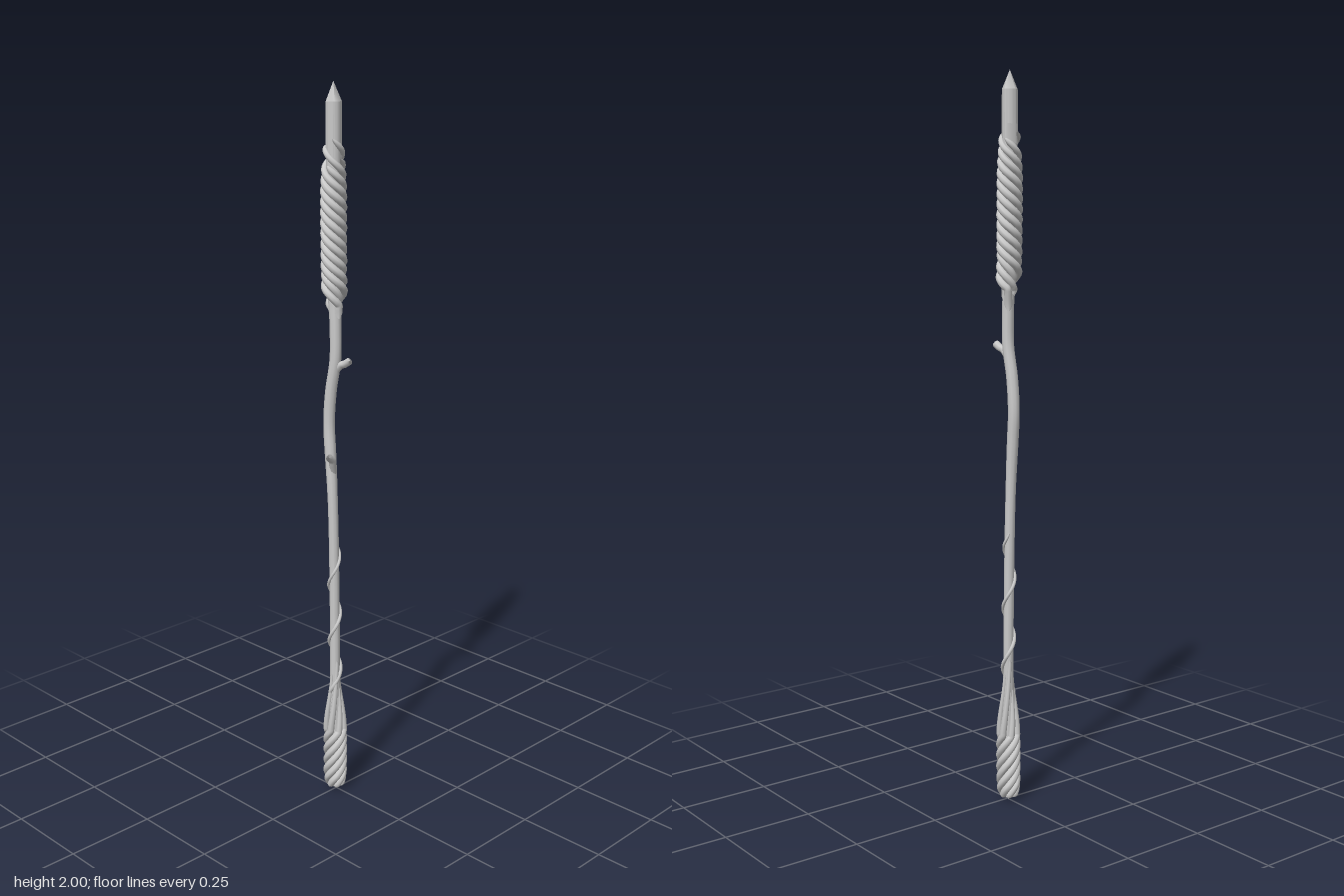
import * as THREE from 'three';

const material = new THREE.MeshStandardMaterial({ color: 0xcccccc, side: THREE.DoubleSide });
const V = (x, y, z) => new THREE.Vector3(x, y, z);
const { smoothstep, lerp } = THREE.MathUtils;

// Centre line of the staff, bowed backwards around y = 1.1
const axis = new THREE.CatmullRomCurve3([
  V(0, 0, -0.004), V(0, 0.25, -0.004), V(0, 0.5, -0.005), V(-0.003, 0.8, -0.007), V(-0.004, 0.92, -0.011),
  V(-0.003, 1.02, -0.019), V(-0.002, 1.1, -0.025), V(-0.002, 1.19, -0.018), V(0, 1.28, -0.003),
  V(0, 1.36, -0.002), V(0, 1.45, -0.006), V(0, 1.65, -0.009), V(0, 1.95, -0.009),
]);
const axisPoints = axis.getSpacedPoints(400);
function centreAt(y) {
  const i = Math.max(1, axisPoints.findIndex((p) => p.y >= y));
  const a = axisPoints[i - 1], b = axisPoints[i];
  return a.clone().lerp(b, (y - a.y) / (b.y - a.y));
}

// Tube whose radius follows a rule of height and of position along the path
function taperedTube(name, path, segments, sides, radiusAt) {
  const geometry = new THREE.TubeGeometry(path, segments, 1, sides);
  const pos = geometry.attributes.position;
  const p = V(0, 0, 0);
  for (let i = 0; i <= segments; i++) {
    const c = path.getPointAt(i / segments);
    const r = radiusAt(c.y, i / segments);
    for (let j = 0; j <= sides; j++) {
      const k = i * (sides + 1) + j;
      p.fromBufferAttribute(pos, k).sub(c).multiplyScalar(r).add(c);
      pos.setXYZ(k, p.x, p.y, p.z);
    }
  }
  const mesh = new THREE.Mesh(geometry, material);
  mesh.name = name;
  return mesh;
}

// Vine winding round the staff between two heights
function vine(name, y0, y1, angleAt, distanceAt, radiusAt, segments) {
  const points = [];
  const n = 48;
  for (let i = 0; i <= n; i++) {
    const y = lerp(y0, y1, i / n);
    const a = angleAt(y), d = distanceAt(y), c = centreAt(y);
    points.push(V(c.x + d * Math.sin(a), y, c.z + d * Math.cos(a)));
  }
  return taperedTube(name, new THREE.CatmullRomCurve3(points), segments, 8, radiusAt);
}
const blunt = (u) => Math.sqrt(Math.min(1, u / 0.03, (1 - u) / 0.03));

export function createModel() {
  const staff = new THREE.Group();
  staff.name = 'woodenStaff';

  // Shaft with a rounded foot, widening towards the head
  staff.add(taperedTube('shaft', axis, 160, 10, (y) => {
    const foot = Math.sqrt(Math.min(1, y / 0.03));
    const body = y < 1.3
      ? 0.014 + 0.008 * (1 - smoothstep(y, 0.15, 0.4)) + 0.002 * smoothstep(y, 0.85, 1.05)
      : 0.016 + 0.004 * smoothstep(y, 1.38, 1.5);
    return foot * body;
  }));

  // Five-sided pointed head
  const head = new THREE.Group();
  head.name = 'pointedHead';
  const block = new THREE.Mesh(new THREE.CylinderGeometry(0.022, 0.023, 0.14, 5), material);
  block.name = 'headBlock';
  block.position.y = 1.88;
  const tip = new THREE.Mesh(new THREE.ConeGeometry(0.022, 0.05, 5), material);
  tip.name = 'headTip';
  tip.position.y = 1.975;
  head.add(block, tip);
  head.position.z = -0.01;
  head.rotation.y = Math.PI;
  staff.add(head);

  // Upper wrapping: vines gathered below, winding tightly up to the head
  const upper = new THREE.Group();
  upper.name = 'upperWrapping';
  for (let i = 0; i < 5; i++) {
    const y0 = 1.37 + 0.02 * ((i * 2) % 5), y1 = 1.79 + 0.017 * ((i * 3) % 5);
    upper.add(vine(
      'upperVine' + (i + 1), y0, y1,
      (y) => 2.6 + (i / 5) * Math.PI * 2 - Math.max(0, y - 1.43) * (Math.PI * 2 / 0.15) - (y - 1.37) * 4,
      (y) => lerp(0.013, 0.025, smoothstep(y, y0, y0 + 0.09)) - 0.003 * smoothstep(y, 1.72, 1.84),
      (y, u) => (0.0105 - 0.003 * smoothstep(y, 1.7, 1.85)) * blunt(u),
      200,
    ));
  }
  staff.add(upper);

  // Lower wrapping: twisted at the foot, straightening as it thins upwards
  const lower = new THREE.Group();
  lower.name = 'lowerWrapping';
  for (let i = 0; i < 6; i++) {
    const top = 0.33 + 0.02 * ((i * 2) % 6);
    lower.add(vine(
      'lowerVine' + (i + 1), 0.009, top,
      (y) => (i / 6) * Math.PI * 2 + Math.min(y, 0.19) * (Math.PI * 2 / 0.2) + Math.max(0, y - 0.19) * 5,
      (y) => lerp(0.011, 0.024, Math.sqrt(Math.min(1, (y - 0.009) / 0.035)))
        - 0.012 * smoothstep(y, 0.19, top),
      (y, u) => (0.0105 - 0.0055 * smoothstep(y, 0.15, top)) * blunt(u),
      120,
    ));
  }
  staff.add(lower);

  // Single thin vine climbing the lower shaft
  staff.add(vine(
    'climbingVine', 0.3, 0.77,
    (y) => (y - 0.53) * (Math.PI * 2 / 0.17),
    (y) => 0.016 - 0.004 * smoothstep(y, 0.73, 0.77),
    (y, u) => 0.006 * (1 - 0.35 * u) * blunt(u),
    140,
  ));

  // Two cut twigs
  const twigs = {
    frontTwig: [V(0.002, 1.245, -0.006), V(0.004, 1.267, 0.014), V(0.006, 1.272, 0.026), V(0.008, 1.283, 0.043)],
    sideTwig: [V(-0.002, 0.965, -0.008), V(-0.012, 0.99, -0.001), V(-0.019, 1.005, 0.003), V(-0.033, 1.016, 0.006)],
  };
  for (const [name, points] of Object.entries(twigs)) {
    const path = new THREE.CatmullRomCurve3(points);
    staff.add(taperedTube(name, path, 30, 8, (y, u) => (u === 1 ? 0 : 0.0095 + 0.001 * u)));
  }
  return staff;
}
